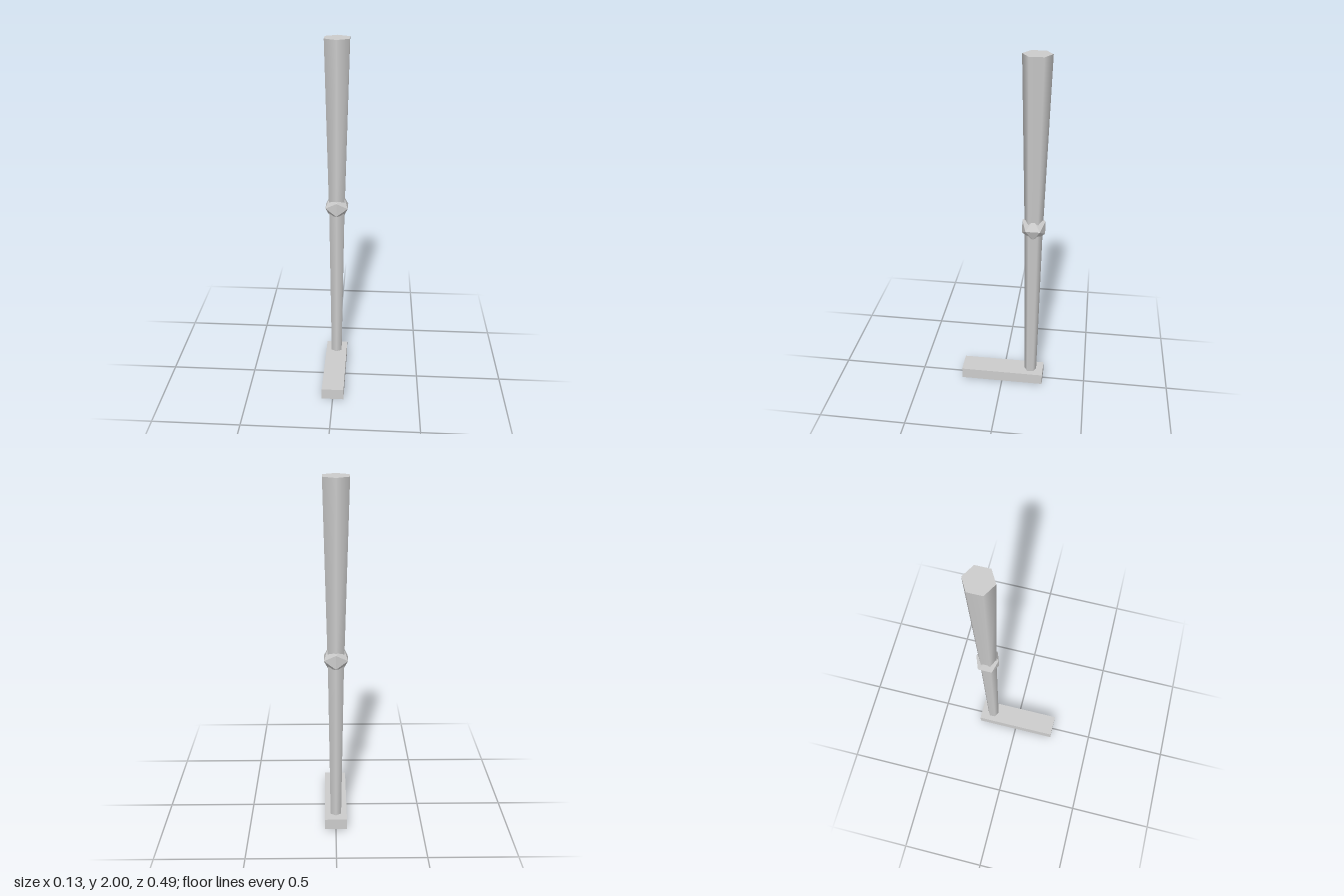
import * as THREE from 'three';

export function createModel() {
  const model = new THREE.Group();
  const grey = new THREE.MeshStandardMaterial({ color: 0xcccccc });
  grey.name = 'light grey';

  const legZ = -0.17;
  const kneeY = 1.05;
  const footHeight = 0.066;

  function add(name, geometry, y, z) {
    const mesh = new THREE.Mesh(geometry, grey);
    mesh.name = name;
    mesh.position.set(0, y, z);
    model.add(mesh);
  }

  // Six-sided tapered limb with smooth sides, from y0 up to y1
  function limb(name, topRadius, bottomRadius, y0, y1) {
    const geometry = new THREE.CylinderGeometry(topRadius, bottomRadius, y1 - y0, 6);
    add(name, geometry, (y0 + y1) / 2, legZ);
  }

  limb('thigh', 0.077, 0.051, kneeY, 2);
  limb('shin', 0.05, 0.035, footHeight / 2, kneeY);

  // Faceted knee joint
  add('knee', new THREE.IcosahedronGeometry(0.075, 0), kneeY, legZ);

  // Flat foot reaching forward
  add('foot', new THREE.BoxGeometry(0.127, footHeight, 0.492), footHeight / 2, 0);

  return model;
}
